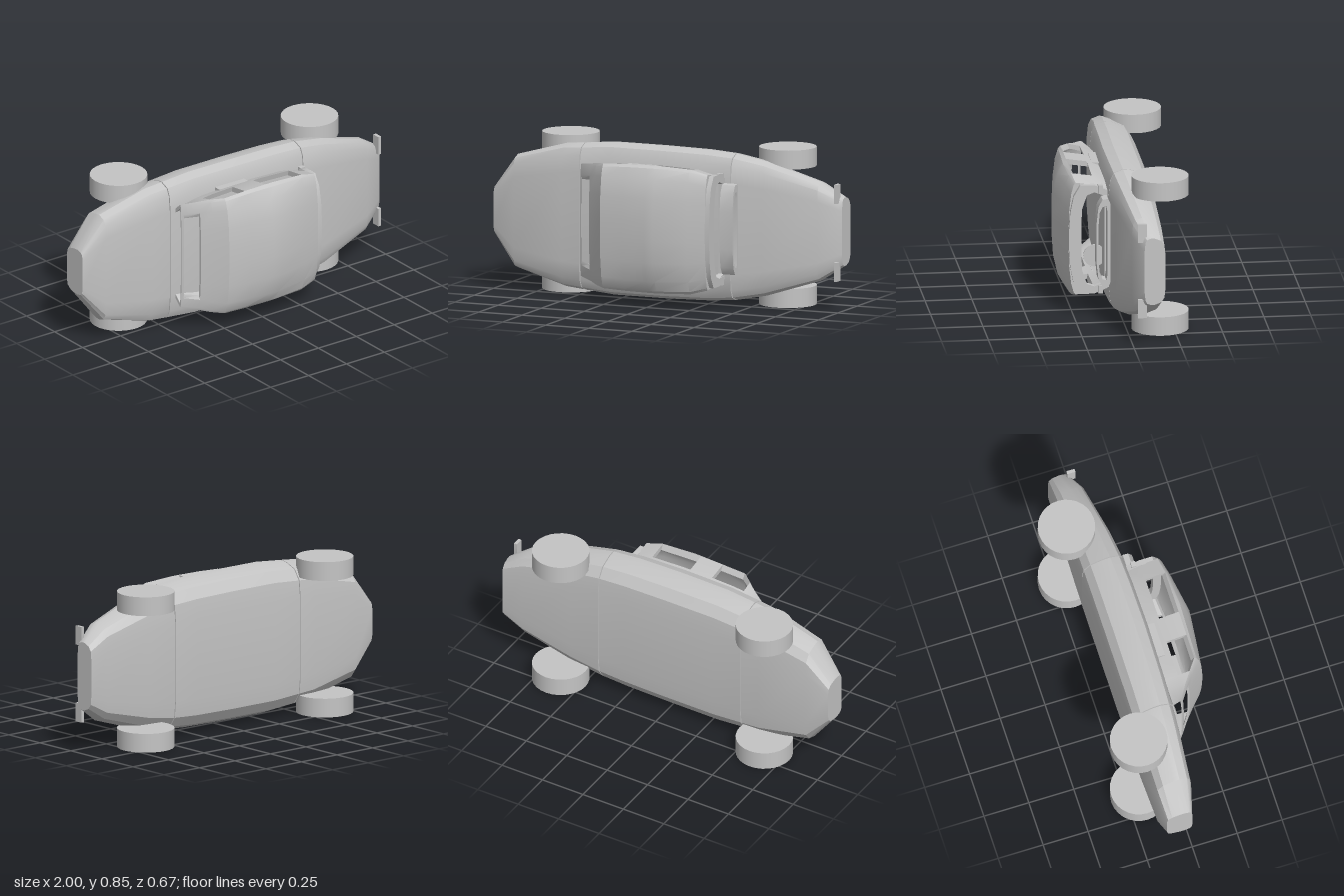
import * as THREE from 'three';
import { toCreasedNormals } from 'three/addons/utils/BufferGeometryUtils.js';

const paint = new THREE.MeshStandardMaterial({ color: 0xc4c4c4, side: THREE.DoubleSide });
paint.name = 'grey paint';

const fromTriangles = (pos, crease) => {
  const g = new THREE.BufferGeometry();
  g.setAttribute('position', new THREE.Float32BufferAttribute(pos, 3));
  return toCreasedNormals(g, crease);
};

const addMesh = (parent, name, geometry) => {
  const m = new THREE.Mesh(geometry, paint);
  m.name = name;
  parent.add(m);
  return m;
};

// Half outline (y, z) mirrored to both sides
const mirrorHalf = (half) => [...half, ...half.map(([y, z]) => [-y, z]).reverse()];

// Interpolate a row [x, a, b, ...] of a station table
const sample = (table, x) => {
  let i = 1;
  while (i < table.length - 1 && table[i][0] < x) i++;
  const a = table[i - 1], b = table[i], t = (x - a[0]) / (b[0] - a[0]);
  return a.map((v, k) => v + (b[k] - v) * t);
};

// Extrude an outline in the y-z plane along x
const extrudeX = (outline, depth, x, hole) => {
  const toVec = (pts) => pts.map(([y, z]) => new THREE.Vector2(y, z));
  const shape = new THREE.Shape(toVec(outline));
  if (hole) shape.holes.push(new THREE.Path(toVec(hole)));
  const g = new THREE.ExtrudeGeometry(shape, { depth, bevelEnabled: false });
  g.applyMatrix4(new THREE.Matrix4().makeBasis(
    new THREE.Vector3(0, 1, 0), new THREE.Vector3(0, 0, 1), new THREE.Vector3(1, 0, 0)));
  return toCreasedNormals(g.translate(x, 0, 0), 0.5);
};

// Hull stations: x, half width, bottom z, top z
const HULL = [
  [-1, 0.13, -0.14, 0], [-0.87, 0.305, -0.16, 0.035], [-0.58, 0.385, -0.165, 0.06],
  [-0.47, 0.395, -0.165, 0.067], [-0.3, 0.41, -0.165, 0.074], [0, 0.41, -0.165, 0.08],
  [0.25, 0.405, -0.165, 0.076], [0.41, 0.393, -0.165, 0.068], [0.58, 0.36, -0.165, 0.05],
  [0.88, 0.265, -0.165, 0.0], [0.985, 0.195, -0.165, -0.045], [1, 0.185, -0.165, -0.055],
];
const HULL_PROFILE = [[0.55, 0], [0.78, 0.04], [0.92, 0.2], [0.99, 0.5], [1, 0.67],
  [0.95, 0.88], [0.85, 0.96], [0.62, 1]];

// Closed piece of the hull between two x positions
const hullPiece = (x0, x1) => {
  const xs = [x0, ...HULL.map((s) => s[0]).filter((x) => x > x0 + 0.01 && x < x1 - 0.01), x1];
  const rings = xs.map((x) => {
    const [, w, b, t] = sample(HULL, x);
    return mirrorHalf(HULL_PROFILE.map(([u, v]) => [u * w, b + v * (t - b)])).map(([y, z]) => [x, y, z]);
  });
  const pos = [], n = rings[0].length, last = rings.length - 1;
  for (let j = 0; j < n; j++) {
    const k = (j + 1) % n;
    for (let i = 0; i < last; i++) {
      const a = rings[i][j], b = rings[i][k], c = rings[i + 1][k], d = rings[i + 1][j];
      pos.push(...a, ...b, ...d, ...b, ...c, ...d);
    }
    pos.push(x0, 0, -0.06, ...rings[0][k], ...rings[0][j]);
    pos.push(x1, 0, -0.1, ...rings[last][j], ...rings[last][k]);
  }
  return fromTriangles(pos, 0.4);
};

// Cabin stations: x, half width, roof z
const CABIN = [
  [-0.44, 0.3, 0.125], [-0.43, 0.303, 0.135], [-0.36, 0.315, 0.19], [-0.31, 0.328, 0.235],
  [-0.25, 0.335, 0.295], [-0.115, 0.341, 0.312], [0.02, 0.343, 0.328], [0.07, 0.343, 0.333],
  [0.255, 0.335, 0.297], [0.35, 0.31, 0.275],
];

const cabinRing = ([x, w, r], inner) => {
  const base = 0.07;
  const lo = Math.min(0.14, base + 0.5 * (r - base));
  const hi = Math.min(0.25, r - 0.18 * (r - base));
  const d = r - hi;
  const half = [[0.87, base], [0.95, lo], [1, hi], [0.96, hi + 0.25 * d],
    [0.8, hi + 0.62 * d], [0.5, hi + 0.9 * d], [0.15, r]];
  return mirrorHalf(half.map(([u, z]) => [u * w, z])).map(([y, z]) =>
    inner ? [x, y * 0.91, base + (z - base) * 0.9] : [x, y, z]);
};

// Thick cabin shell with side and rear window openings
const cabinShell = () => {
  const outer = CABIN.map((s) => cabinRing(s, false));
  const inner = CABIN.map((s) => cabinRing(s, true));
  const cols = CABIN.length - 1, rows = outer[0].length - 1, pos = [];
  const solid = (i, j) => {
    if (i < 0 || j < 0 || i >= cols || j >= rows) return false;
    const side = j === 1 || j === rows - 2;
    if (side && (i === 3 || i === 4 || i === 6 || i === 7)) return false;
    return !(i === 1 && j >= 4 && j <= 8);
  };
  const quad = (a, b, c, d) => pos.push(...a, ...b, ...d, ...b, ...c, ...d);
  const wall = (i, j, k, l) => quad(outer[i][j], inner[i][j], inner[k][l], outer[k][l]);
  for (let i = 0; i < cols; i++) for (let j = 0; j < rows; j++) {
    if (!solid(i, j)) continue;
    quad(outer[i][j], outer[i][j + 1], outer[i + 1][j + 1], outer[i + 1][j]);
    quad(inner[i][j], inner[i + 1][j], inner[i + 1][j + 1], inner[i][j + 1]);
    if (!solid(i - 1, j)) wall(i, j, i, j + 1);
    if (!solid(i + 1, j)) wall(i + 1, j + 1, i + 1, j);
    if (!solid(i, j - 1)) wall(i + 1, j, i, j);
    if (!solid(i, j + 1)) wall(i, j + 1, i + 1, j + 1);
  }
  return fromTriangles(pos, 0.4);
};

export function createModel() {
  const model = new THREE.Group();
  model.name = 'carOnItsSide';
  const car = new THREE.Group();
  car.name = 'car';
  car.position.y = 0.4225;
  model.add(car);

  // Hull in three pieces with fine panel gaps
  addMesh(car, 'tailBody', hullPiece(-1, -0.474));
  addMesh(car, 'middleBody', hullPiece(-0.469, 0.404));
  addMesh(car, 'noseBody', hullPiece(0.409, 1));

  // Cabin, windscreen frame and the ring in front of it
  addMesh(car, 'cabin', cabinShell());
  addMesh(car, 'windscreenFrame', extrudeX(
    mirrorHalf([[0.27, 0.07], [0.3, 0.14], [0.3, 0.215], [0.24, 0.25], [0.15, 0.268], [0.05, 0.275]]),
    0.03, 0.345,
    mirrorHalf([[0.24, 0.085], [0.26, 0.14], [0.245, 0.18], [0.17, 0.205], [0.08, 0.21]])));
  addMesh(car, 'cowlRing', extrudeX(
    mirrorHalf([[0.21, 0.06], [0.245, 0.075], [0.24, 0.105], [0.2, 0.127], [0.1, 0.138]]),
    0.075, 0.375,
    mirrorHalf([[0.17, 0.078], [0.205, 0.085], [0.2, 0.105], [0.17, 0.12], [0.09, 0.127]])));

  // Steering wheel
  const steering = addMesh(car, 'steeringWheel', new THREE.CylinderGeometry(0.06, 0.06, 0.012, 24));
  steering.position.set(0.17, -0.15, 0.115);
  steering.rotation.z = Math.PI / 2;

  for (const s of [-1, 1]) {
    // Wheels
    for (const x of [-0.63, 0.63]) {
      const wheel = addMesh(car, 'wheel', new THREE.CylinderGeometry(0.153, 0.153, 0.102, 28));
      wheel.position.set(x, s * 0.3715, -0.18);
    }
    // Headlight plates on the nose
    addMesh(car, 'headlight', extrudeX(
      [[0.158, -0.022], [0.26, -0.022], [0.26, -0.068], [0.19, -0.068], [0.158, -0.06]]
        .map(([y, z]) => [s * y, z]), 0.018, 0.967));
    // Small blocks beside the windscreen and sill tabs below the side pillars
    addMesh(car, 'mirror', new THREE.BoxGeometry(0.03, 0.045, 0.025)).position.set(0.365, s * 0.277, 0.107);
    addMesh(car, 'sillTab', new THREE.BoxGeometry(0.19, 0.03, 0.04)).position.set(-0.085, s * 0.3, 0.09);
  }
  return model;
}
